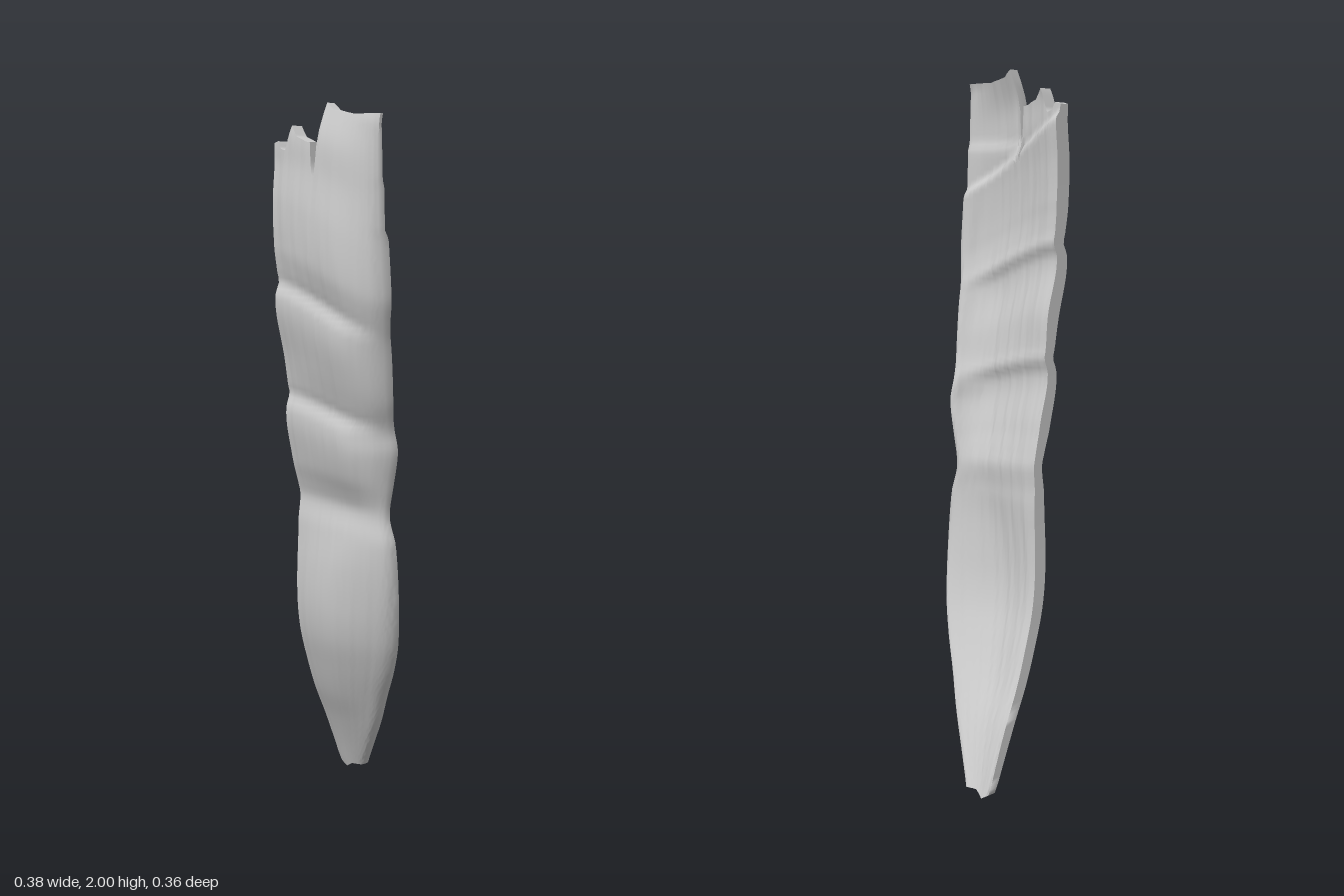
import * as THREE from 'three';
import { toCreasedNormals } from 'three/addons/utils/BufferGeometryUtils.js';

// Smooth (or straight) interpolation through [position, value] pairs
function sample(table, p, smooth = true) {
  if (p <= table[0][0]) return table[0][1];
  for (let i = 1; i < table.length; i++) {
    const [a, va] = table[i - 1], [b, vb] = table[i];
    if (p > b) continue;
    const t = (p - a) / (b - a);
    if (!smooth) return va + (vb - va) * t;
    // Catmull-Rom style tangents that respect uneven spacing
    const slope = (j) => {
      const lo = table[Math.max(j - 1, 0)], hi = table[Math.min(j + 1, table.length - 1)];
      return (hi[1] - lo[1]) / (hi[0] - lo[0]);
    };
    const t2 = t * t, t3 = t2 * t, w = b - a;
    return va * (2 * t3 - 3 * t2 + 1) + vb * (3 * t2 - 2 * t3)
      + slope(i - 1) * w * (t3 - 2 * t2 + t) + slope(i) * w * (t3 - t2);
  }
  return table[table.length - 1][1];
}

// Outline and depth by height
const LEFT = [[0, -0.185], [0.05, -0.19], [0.2, -0.19], [0.5, -0.18], [0.8, -0.17], [1.5, -0.167], [2, -0.175]];
const RIGHT = [[0.02, -0.105], [0.1, -0.06], [0.2, -0.005], [0.3, 0.04], [0.4, 0.085], [0.5, 0.117], [0.65, 0.138],
  [0.8, 0.14], [0.88, 0.122], [0.97, 0.135], [1.07, 0.15], [1.13, 0.145], [1.22, 0.16], [1.38, 0.172],
  [1.43, 0.18], [1.5, 0.19], [1.7, 0.183], [2, 0.183]];
const FRONT = [[0, -0.145], [0.1, -0.105], [0.2, -0.06], [0.3, -0.01], [0.4, 0.03], [0.5, 0.063], [0.6, 0.079], [0.72, 0.08],
  [0.83, 0.068], [0.9, 0.055], [0.94, 0.068], [1.0, 0.095], [1.08, 0.115], [1.14, 0.116], [1.175, 0.103],
  [1.2, 0.112], [1.28, 0.138], [1.37, 0.16], [1.43, 0.162], [1.46, 0.15], [1.49, 0.16], [1.56, 0.178],
  [1.68, 0.18], [1.8, 0.167], [1.9, 0.16], [2, 0.13]];
const BACK = [[0, -0.18], [0.2, -0.12], [0.4, -0.07], [0.6, -0.03], [0.75, -0.01], [0.9, 0], [1.1, 0.002],
  [1.2, 0.03], [1.35, 0.053], [1.45, 0.075], [1.6, 0.085], [1.9, 0.093], [2, 0.1]];
// How far the folds fall from the left edge to the right edge
const SLANT = [[0, 0], [0.7, 0], [0.9, 0.02], [1.17, 0.07], [1.46, 0.13], [1.75, 0.13], [2, 0.04]];
// Wall thickness, pinched at the folds
const THICK = [[0, 0.032], [0.2, 0.046], [0.6, 0.055], [0.8, 0.052], [0.9, 0.042], [1.02, 0.055], [1.17, 0.045],
  [1.3, 0.06], [1.46, 0.052], [1.58, 0.062], [2, 0.058]];
// How far the left edge sits behind the crest
const LEFT_DROP = [[0, 0.004], [0.5, 0.015], [0.75, 0.012], [0.9, 0], [1.05, 0.01], [1.2, 0.004], [1.33, 0.016],
  [1.5, 0.012], [1.65, 0.027], [2, 0.022]];
// Torn upper edge, by position across the width
const TORN = [[0, 1.9], [0.05, 1.905], [0.08, 1.885], [0.14, 1.88], [0.2, 1.945], [0.27, 1.915], [0.39, 1.9],
  [0.42, 1.9], [0.435, 1.82], [0.465, 1.81], [0.52, 2], [0.6, 1.98], [0.75, 1.968], [1, 1.968]];

const COLS = 84, ROWS = 130, BREAK = 1.6;
const { lerp, smoothstep } = THREE.MathUtils;

function surfacePoint(u, t, side) {
  // rows above BREAK stretch to meet the torn edge
  const bottom = 0.018 * Math.min(1, Math.abs(u - 0.25) * 3);
  let y = bottom + t * (2 - bottom);
  if (y > BREAK) y = BREAK + (y - BREAK) / (2 - BREAK) * (sample(TORN, u, false) - BREAK);
  const v = y + sample(SLANT, y) * (u ** 1.4 - 0.5);
  const left = sample(LEFT, y), right = sample(RIGHT, y);
  const front = sample(FRONT, v), back = sample(BACK, y);
  const width = Math.min((right - left) / 0.33, 1);
  let thick = sample(THICK, v);
  // flat tilted blade below, bowed wall with a back-curled right edge above
  const upper = smoothstep(y, 0.6, 1);
  const crest = lerp(0.4, 0.62, upper);
  const curl = Math.max(front - back - 0.65 * thick, 0.004);
  const bow = u < crest
    ? sample(LEFT_DROP, y) * ((crest - u) / crest) ** 1.6
    : curl * ((u - crest) / (1 - crest)) ** lerp(1.6, 2.1, upper);
  // two rear steps leave a thin torn lip
  const step = 1.87 - 0.21 * u;
  thick -= 0.02 * smoothstep(y, step - 0.01, step + 0.015);
  thick -= 0.01 * smoothstep(y, 1.78, 1.81) * smoothstep(u, 0.42, 0.5);
  // square front left corner, softer elsewhere
  const fullness = Math.sqrt(1 - Math.abs(2 * u - 1) ** 14);
  const round = Math.max(u > 0.5 ? 0.35 : side > 0 ? 0.92 : 0.6, fullness);
  let z = front - bow - thick / 2 + side * thick / 2 * round;
  // fine lengthwise grain, stronger on the back
  const grain = Math.sin(u * 47 + 3 * Math.sin(y * 4)) + 0.6 * Math.sin(u * 83 - y * 5);
  z += grain * (side > 0 ? 0.0004 : 0.0009) * width * round;
  return [left + (right - left) * u, y, z];
}

function sheathGeometry() {
  const positions = [], index = [];
  const ring = 2 * (COLS + 1);
  for (let r = 0; r <= ROWS; r++) {
    for (let k = 0; k < ring; k++) {
      const onFront = k <= COLS;
      const u = (onFront ? k : ring - 1 - k) / COLS;
      positions.push(...surfacePoint(u, r / ROWS, onFront ? 1 : -1));
    }
  }
  // walls
  for (let r = 0; r < ROWS; r++) {
    for (let k = 0; k < ring; k++) {
      const a = r * ring + k, b = r * ring + (k + 1) % ring;
      index.push(a, b, b + ring, a, b + ring, a + ring);
    }
  }
  // closing strips at the tip and along the torn edge
  const top = ROWS * ring;
  for (let k = 0; k < COLS; k++) {
    const f = k, g = k + 1, bf = ring - 1 - k, bg = ring - 2 - k;
    index.push(f, bf, bg, f, bg, g);
    index.push(top + f, top + g, top + bg, top + f, top + bg, top + bf);
  }
  const geometry = new THREE.BufferGeometry();
  geometry.setAttribute('position', new THREE.Float32BufferAttribute(positions, 3));
  geometry.setIndex(index);
  return toCreasedNormals(geometry, 0.9);
}

export function createModel() {
  const group = new THREE.Group();
  group.name = 'tornSheath';
  const sheath = new THREE.Mesh(sheathGeometry(), new THREE.MeshStandardMaterial({ color: 0xcccccc }));
  sheath.name = 'foldedSheath';
  group.add(sheath);
  return group;
}
